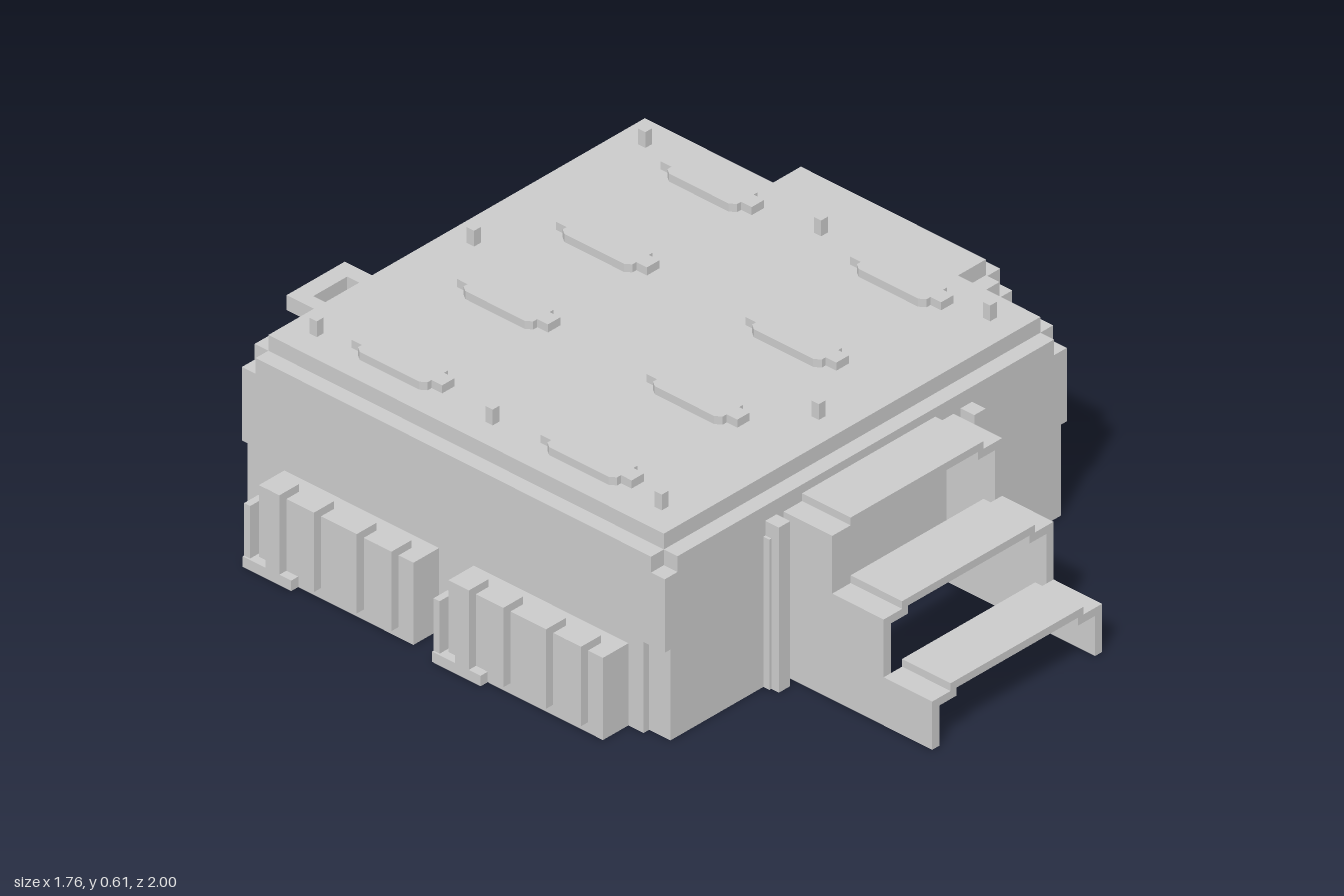
import * as THREE from 'three';

const material = new THREE.MeshStandardMaterial({ color: 0xcccccc, flatShading: true });

function add(parent, name, geometry) {
  const mesh = new THREE.Mesh(geometry, material);
  mesh.name = name;
  parent.add(mesh);
  return mesh;
}

// Box given by its limits on each axis
function box(parent, name, x0, x1, y0, y1, z0, z1) {
  const mesh = add(parent, name, new THREE.BoxGeometry(x1 - x0, y1 - y0, z1 - z0));
  mesh.position.set((x0 + x1) / 2, (y0 + y1) / 2, (z0 + z1) / 2);
  return mesh;
}

function polygon(points) {
  return new THREE.Shape(points.map(([x, y]) => new THREE.Vector2(x, y)));
}

function extrude(shape, depth) {
  return new THREE.ExtrudeGeometry(shape, { depth, bevelEnabled: false });
}

// Horizontal slab from a plan drawn in x and z
function slab(parent, name, plan, y0, y1) {
  const geometry = extrude(polygon(plan.map(([x, z]) => [x, -z])), y1 - y0);
  geometry.rotateX(-Math.PI / 2);
  const mesh = add(parent, name, geometry);
  mesh.position.y = y0;
  return mesh;
}

// Rectangle plan with a rectangular bite out of every corner
function notched(x0, x1, z0, z1, dx, dz) {
  return [
    [x0 + dx, z0], [x1 - dx, z0], [x1 - dx, z0 + dz], [x1, z0 + dz],
    [x1, z1 - dz], [x1 - dx, z1 - dz], [x1 - dx, z1], [x0 + dx, z1],
    [x0 + dx, z1 - dz], [x0, z1 - dz], [x0, z0 + dz], [x0 + dx, z0 + dz],
  ];
}

function createBody() {
  const body = new THREE.Group();
  body.name = 'body';
  slab(body, 'lowerWalls', notched(-0.77, 0.65, -0.885, 0.51, 0.02, 0.07), 0, 0.26);
  box(body, 'upperWalls', -0.77, 0.65, 0.26, 0.47, -0.885, 0.51);
  slab(body, 'eaves', notched(-0.77, 0.65, -0.885, 0.51, 0.045, 0.045), 0.47, 0.515);
  box(body, 'roof', -0.725, 0.605, 0.515, 0.56, -0.84, 0.465);
  return body;
}

function createSideAnnex() {
  const annex = new THREE.Group();
  annex.name = 'sideAnnex';
  box(annex, 'annexBase', 0.62, 0.86, 0, 0.145, -0.58, 0.115);
  // Band with a shallow recess in the outer face
  slab(annex, 'annexRecessBand', [
    [0.64, -0.58], [0.88, -0.58], [0.88, -0.53], [0.86, -0.53],
    [0.86, 0.065], [0.88, 0.065], [0.88, 0.115], [0.64, 0.115],
  ], 0.145, 0.19);
  box(annex, 'annexWalls', 0.64, 0.88, 0.19, 0.355, -0.58, 0.115);
  slab(annex, 'annexEaves', [
    [0.64, -0.58], [0.835, -0.58], [0.835, -0.54], [0.88, -0.54],
    [0.88, 0.075], [0.835, 0.075], [0.835, 0.115], [0.64, 0.115],
  ], 0.355, 0.4);
  box(annex, 'annexRoof', 0.64, 0.835, 0.4, 0.445, -0.54, 0.07);
  return annex;
}

// Ribbed unit: runs along local +x and projects along local +z
function createVent(x, z, angle) {
  const vent = new THREE.Group();
  vent.name = 'ribbedVent';
  box(vent, 'ventBase', 0, 0.51, 0, 0.235, -0.01, 0.09);
  for (const u of [0.068, 0.182, 0.323, 0.438]) {
    box(vent, 'ventRib', u - 0.023, u + 0.023, 0.03, 0.257, 0.045, 0.115);
  }
  box(vent, 'ventFoot', -0.03, 0.13, 0, 0.03, 0.045, 0.115);
  box(vent, 'ventFootUpright', -0.03, -0.01, 0.03, 0.18, 0.06, 0.11);
  vent.position.set(x, 0, z);
  vent.rotation.y = angle;
  return vent;
}

// Open staircase: three stepped arches one behind the other
function createStairs() {
  const stairs = new THREE.Group();
  stairs.name = 'stairs';
  const steps = [[0.16, 0.84, 1.0], [0.325, 0.67, 0.84], [0.49, 0.505, 0.67]];
  for (const [h, z0, z1] of steps) {
    const arch = polygon([
      [-0.35, 0], [-0.325, 0], [-0.325, h - 0.045], [-0.265, h - 0.045],
      [-0.265, h - 0.022], [0.165, h - 0.022], [0.165, h - 0.045], [0.225, h - 0.045],
      [0.225, 0], [0.25, 0], [0.25, h - 0.022], [0.185, h - 0.022],
      [0.185, h], [-0.285, h], [-0.285, h - 0.022], [-0.35, h - 0.022],
    ]);
    add(stairs, 'step', extrude(arch, z1 - z0)).position.z = z0;
  }
  // Guide posts on both sides of the stairs
  for (const side of [-1, 1]) {
    const x = -0.05 + side * 0.345;
    box(stairs, 'postPlate', x - 0.027, x + 0.027, 0, 0.43, 0.5, 0.53);
    box(stairs, 'post', x - 0.02, x + 0.02, 0, 0.472, 0.5, 0.555);
  }
  return stairs;
}

// Rungs on the back wall, each a flat bracket with a slot
function createLadder() {
  const ladder = new THREE.Group();
  ladder.name = 'ladder';
  const plan = [
    [-0.51, -0.88], [-0.51, -0.98], [-0.305, -0.98], [-0.305, -0.88],
    [-0.35, -0.88], [-0.35, -0.93], [-0.47, -0.93], [-0.47, -0.88],
  ];
  for (let i = 0; i < 5; i++) {
    const y = 0.01 + i * 0.115;
    slab(ladder, 'rung', plan, y, y + 0.043);
  }
  return ladder;
}

function createRoofDetails() {
  const details = new THREE.Group();
  details.name = 'roofDetails';
  // Raised hatches with narrowed ends
  const quarter = [[0.022, 0.15], [0.022, 0.115], [0.036, 0.115], [0.048, 0.098]];
  const right = [...quarter, ...quarter.map(([x, z]) => [x, -z]).reverse()];
  const plan = [...right, ...right.map(([x, z]) => [-x, z]).reverse()];
  for (const x of [-0.608, -0.235, 0.115, 0.485]) {
    for (const z of [-0.505, 0.12]) {
      const hatch = slab(details, 'roofHatch', plan, 0.555, 0.583);
      hatch.position.x = x;
      hatch.position.z = z;
    }
  }
  // Pegs around the roof edge
  for (const x of [-0.64, -0.085, 0.52]) {
    for (const z of [-0.76, -0.18, 0.378]) {
      if (x === -0.085 && z === -0.18) continue;
      box(details, 'roofPeg', x - 0.012, x + 0.012, 0.555, 0.605, z - 0.012, z + 0.012);
    }
  }
  return details;
}

export function createModel() {
  const model = new THREE.Group();
  model.name = 'blockBuilding';
  model.add(
    createBody(),
    createSideAnnex(),
    createVent(-0.77, -0.745, -Math.PI / 2),
    createVent(-0.77, -0.12, -Math.PI / 2),
    createVent(0.51, -0.885, Math.PI),
    createStairs(),
    createLadder(),
    createRoofDetails(),
  );
  return model;
}
